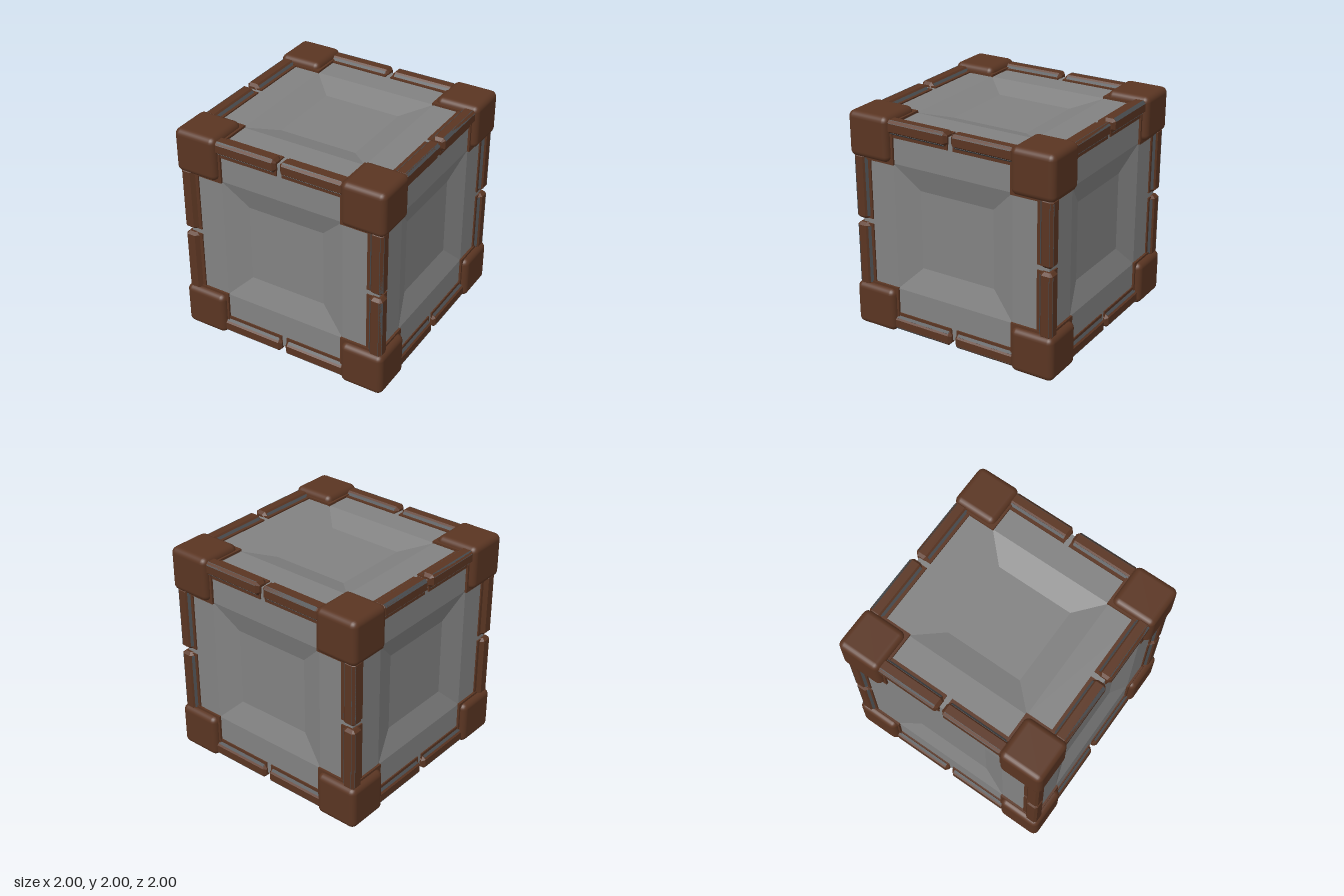
import * as THREE from 'three';
import { RoundedBoxGeometry } from 'three/addons/geometries/RoundedBoxGeometry.js';

export function createModel() {
  const mat = (name, color) => {
    const m = new THREE.MeshStandardMaterial({ color });
    m.name = name;
    return m;
  };
  const stone = mat('grey panel', 0x828282);
  const wood = mat('brown frame', 0x5a3522);
  const steel = mat('dark grey trim', 0x4a4d50);

  const model = new THREE.Group();
  model.name = 'crate';
  const crate = new THREE.Group();
  crate.name = 'crateBody';
  crate.position.y = 1;
  model.add(crate);

  const add = (parent, name, geometry, material) => {
    const mesh = new THREE.Mesh(geometry, material);
    mesh.name = name;
    parent.add(mesh);
    return mesh;
  };

  // Panel: square face with a shallow sloped recess in its middle
  const R = Math.SQRT2;
  const rings = [[0.93, 0.93], [0.585, 0.93], [0.36, 0.86], [0, 0.86]];
  const panelGeo = new THREE.LatheGeometry(
    rings.map(([r, h]) => new THREE.Vector2(r * R, h)), 4, Math.PI / 4
  ).toNonIndexed();
  panelGeo.computeVertexNormals();
  const q = Math.PI / 2;
  const faces = {
    top: [0, 0], bottom: [Math.PI, 0], front: [q, 0],
    back: [-q, 0], left: [0, -q], right: [0, q],
  };
  for (const [side, [rx, rz]] of Object.entries(faces)) {
    add(crate, side + 'Panel', panelGeo, stone).rotation.set(rx, 0, rz);
  }

  // Edge parts: cross-sections in the corner quadrant, extruded along the edge
  const extrude = (points, start, end, bevel) => {
    const shape = new THREE.Shape(points.map(([x, y]) => new THREE.Vector2(x, y)));
    const geo = new THREE.ExtrudeGeometry(shape, {
      depth: end - start - 2 * bevel, bevelEnabled: bevel > 0, bevelSegments: 1,
      bevelSize: bevel, bevelThickness: bevel, bevelOffset: -bevel,
    });
    return geo.translate(0, 0, start + bevel);
  };
  const barProfile = [
    [0.84, 0.84], [0.93, 0.84], [0.975, 0.88], [0.975, 0.955],
    [0.955, 0.975], [0.88, 0.975], [0.84, 0.93],
  ];
  const linerProfile = [
    [0.82, 0.9], [0.9, 0.9], [0.9, 0.82], [0.942, 0.82], [0.942, 0.942], [0.82, 0.942],
  ];
  const outerTrim = [[0.978, 0.952], [0.952, 0.978], [0.95, 0.971], [0.971, 0.95]];
  const innerTrim = [[0.865, 0.962], [0.838, 0.932], [0.845, 0.925], [0.872, 0.955]];
  const swapped = innerTrim.map(([x, y]) => [y, x]);

  const halves = [[0.02, 0.62], [-0.62, -0.02]].map(([a, b]) => ({
    bar: extrude(barProfile, a, b, 0.025),
    liner: extrude(linerProfile, a + 0.005, b - 0.005, 0),
    trims: [outerTrim, innerTrim, swapped].map((p) => extrude(p, a + 0.03, b - 0.03, 0)),
  }));

  // Twelve edges: three directions, four quadrants each
  const axes = [['depth', 0, 0], ['width', 0, q], ['upright', -q, 0]];
  for (const [name, rx, ry] of axes) {
    for (let k = 0; k < 4; k++) {
      const edge = new THREE.Group();
      edge.name = name + 'Edge' + (k + 1);
      edge.rotation.set(rx, ry, k * q);
      crate.add(edge);
      const plain = name === 'upright' && k === 2;
      for (const half of halves) {
        add(edge, 'edgeBar', half.bar, wood);
        add(edge, 'edgeLiner', half.liner, wood);
        if (!plain) half.trims.forEach((g) => add(edge, 'edgeTrim', g, steel));
      }
    }
  }

  // Corner blocks, each on a slightly wider low pad
  const blockGeo = new RoundedBoxGeometry(0.405, 0.405, 0.405, 3, 0.055);
  const padGeo = new THREE.BoxGeometry(0.375, 0.375, 0.375);
  for (const x of [-1, 1]) for (const y of [-1, 1]) for (const z of [-1, 1]) {
    const corner = new THREE.Group();
    corner.name = 'corner';
    crate.add(corner);
    add(corner, 'cornerBlock', blockGeo, wood).position.set(x, y, z).multiplyScalar(0.7975);
    add(corner, 'cornerPad', padGeo, wood).position.set(x, y, z).multiplyScalar(0.7625);
  }

  return model;
}
